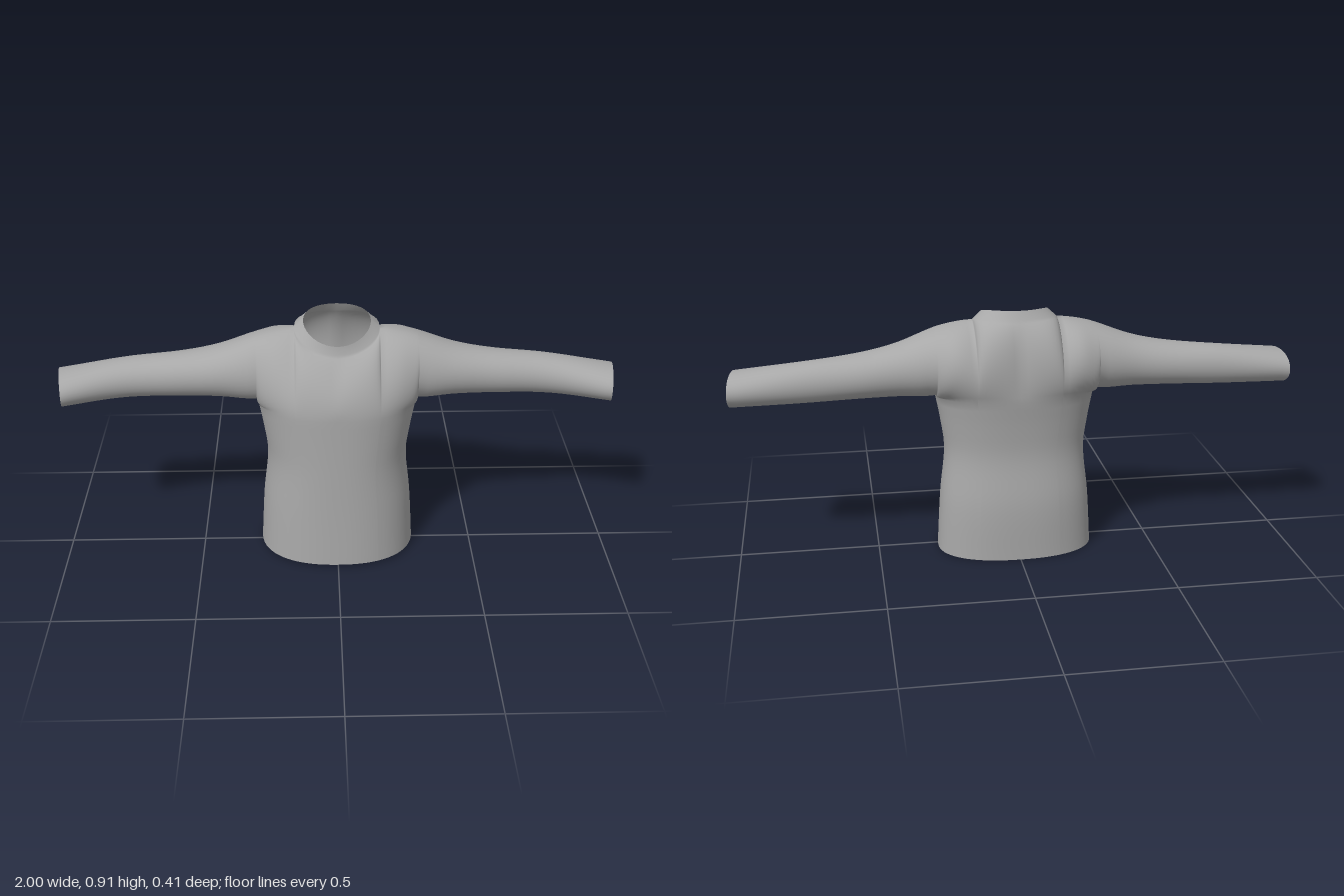
import * as THREE from 'three';

const W = 0.285, ARMPIT = 0.6, NECK = 0.15, ZC = -0.0325;

// Torso outline: y, half width, front z, back z
const TORSO = [
  [0, 0.283, 0.203, -0.197], [0.2, 0.271, 0.195, -0.197], [0.38, 0.253, 0.19, -0.178],
  [0.5, 0.267, 0.188, -0.186], [ARMPIT, W, 0.187, -0.2],
];
// Yoke and sleeve: x, bottom y, top y, centre z,
// then lower handle (y, z) and upper handle offset (y, z) for the front, the same for the back
const ARM = [
  [0, 0.6, 0.862, ZC, 0.69, 0.19, -0.05, 0.04, 0.70, -0.203, -0.06, -0.045],
  [0.15, 0.6, 0.862, ZC, 0.71, 0.165, -0.01, 0.07, 0.72, -0.245, -0.01, -0.1],
  [0.22, 0.6, 0.852, ZC, 0.68, 0.15, 0, 0.1, 0.70, -0.25, 0, -0.14],
  [W, 0.6, 0.836, ZC, 0.6, 0.13, 0, 0.12, 0.6, -0.22, 0, -0.17],
  [0.42, 0.603, 0.787, -0.045, 0.603, 0.088, 0, 0.13, 0.603, -0.178, 0, -0.133],
  [0.55, 0.602, 0.76, -0.05, 0.602, 0.063, 0, 0.113, 0.602, -0.167, 0, -0.117],
  [0.75, 0.596, 0.738, -0.055, 0.596, 0.052, 0, 0.107, 0.596, -0.152, 0, -0.097],
  [1, 0.585, 0.705, -0.02, 0.585, 0.107, 0, 0.127, 0.585, -0.147, 0, -0.127],
];

// Smooth interpolation of a table row by its first column
function sample(table, t) {
  let i = 0;
  while (i < table.length - 2 && t > table[i + 1][0]) i++;
  const a = table[i], b = table[i + 1], h = b[0] - a[0], u = (t - a[0]) / h;
  const p = table[Math.max(i - 1, 0)], n = table[Math.min(i + 2, table.length - 1)];
  return a.map((v, k) => {
    const ma = (b[k] - p[k]) / (b[0] - p[0]) * h, mb = (n[k] - v) / (n[0] - a[0]) * h;
    return v * (2 * u ** 3 - 3 * u * u + 1) + ma * (u ** 3 - 2 * u * u + u)
      + b[k] * (3 * u * u - 2 * u ** 3) + mb * (u ** 3 - u * u);
  });
}

// Torso point at side fraction s and height y; side is 1 for front, -1 for back
function torsoPoint(s, y, side) {
  const [, w, zf, zb] = sample(TORSO, y);
  const bulge = Math.max(0, 1 - Math.abs(s) ** 2.3) ** (1 / 2.3);
  const z = ZC + ((side > 0 ? zf : zb) - ZC) * bulge;
  const hem = (0.009 + 0.03 * z) * (1 - y / ARMPIT);
  return [w * s, y + hem, z];
}

// One column of the shell at x, from the hem or underarm up to the neck or shoulder ridge
function column(x, side) {
  const ax = Math.abs(x), pts = [];
  const r = sample(ARM, ax), h = side > 0 ? r.slice(4, 8) : r.slice(8, 12);
  const inTorso = ax <= W, inNeck = ax <= NECK;
  const c = inNeck ? side * Math.sqrt(Math.max(0, 1 - (ax / NECK) ** 2)) : 0;
  if (inTorso) for (let j = 0; j < 20; j++) pts.push(torsoPoint(x / W, ARMPIT * j / 20, side));

  const p0 = inTorso ? torsoPoint(x / W, ARMPIT, side) : [x, r[1], r[3]];
  const p3 = inNeck ? [x, 0.862 - 0.0375 * c - 0.0195 * c * c, ZC + 0.1125 * c] : [x, r[2], r[3]];
  const curve = new THREE.CubicBezierCurve3(
    new THREE.Vector3(...p0), new THREE.Vector3(x, h[0], h[1]),
    new THREE.Vector3(x, p3[1] + h[2], p3[2] + h[3]), new THREE.Vector3(...p3));
  for (let j = 0; j <= 16; j++) {
    const p = curve.getPoint(j / 16);
    // slanted cuff
    const cut = Math.max(0, (ax - 0.8) / 0.2) * 0.03 * (p.z + 0.115) / 0.19;
    pts.push([x - Math.sign(x) * cut, p.y, p.z]);
  }
  // standing collar
  if (inNeck) pts.push([x * 0.79, 0.89 - 0.0375 * c - 0.0175 * c * c, -0.0275 + 0.1025 * c]);
  return { pts, start: inTorso ? 0 : 20 };
}

export function createModel() {
  const group = new THREE.Group();
  group.name = 'sweater';
  const fabric = new THREE.MeshStandardMaterial({ color: 0xa8a8a8, side: THREE.DoubleSide });
  fabric.name = 'grey fabric';

  // Column positions, closer together at the neck edge and the torso sides
  const half = [];
  for (let i = 0; i <= 10; i++) half.push(NECK * Math.sin(i / 10 * Math.PI / 2));
  const a0 = Math.asin(NECK / W);
  for (let i = 1; i <= 12; i++) half.push(i === 12 ? W : W * Math.sin(a0 + (Math.PI / 2 - a0) * i / 12));
  for (let i = 1; i <= 22; i++) half.push(W + (1 - W) * i / 22);
  const xs = [...half.slice(1).reverse().map((x) => -x), ...half];

  // Shared welded points, so shading runs smoothly across the parts
  const positions = [], lookup = new Map();
  const parts = { body: [], collar: [], leftSleeve: [], rightSleeve: [] };
  const weld = (p) => {
    const key = p.map((v) => Math.round(v * 1e4)).join();
    if (!lookup.has(key)) {
      lookup.set(key, positions.length / 3);
      positions.push(...p);
    }
    return lookup.get(key);
  };
  const tri = (list, a, b, c) => {
    if (a !== b && b !== c && c !== a) list.push(a, b, c);
  };

  for (const side of [1, -1]) {
    const cols = xs.map((x) => {
      const { pts, start } = column(x, side);
      return { ids: pts.map(weld), start };
    });
    for (let i = 0; i < cols.length - 1; i++) {
      const L = cols[i], R = cols[i + 1], mid = (xs[i] + xs[i + 1]) / 2;
      const last = Math.min(L.start + L.ids.length, R.start + R.ids.length) - 1;
      for (let j = Math.max(L.start, R.start); j < last; j++) {
        const name = mid > W ? 'leftSleeve' : mid < -W ? 'rightSleeve' : j >= 36 ? 'collar' : 'body';
        const a = L.ids[j - L.start], b = R.ids[j - R.start];
        const c = R.ids[j + 1 - R.start], d = L.ids[j + 1 - L.start];
        if (side > 0) {
          tri(parts[name], a, b, c);
          tri(parts[name], a, c, d);
        } else {
          tri(parts[name], a, c, b);
          tri(parts[name], a, d, c);
        }
      }
    }
  }

  const shell = new THREE.BufferGeometry();
  shell.setAttribute('position', new THREE.Float32BufferAttribute(positions, 3));
  shell.setIndex(Object.values(parts).flat());
  shell.computeVertexNormals();

  // Split the smooth shell into its named parts
  for (const [name, index] of Object.entries(parts)) {
    const piece = shell.clone();
    piece.setIndex(index);
    const mesh = new THREE.Mesh(piece.toNonIndexed(), fabric);
    mesh.name = name;
    group.add(mesh);
  }
  return group;
}
